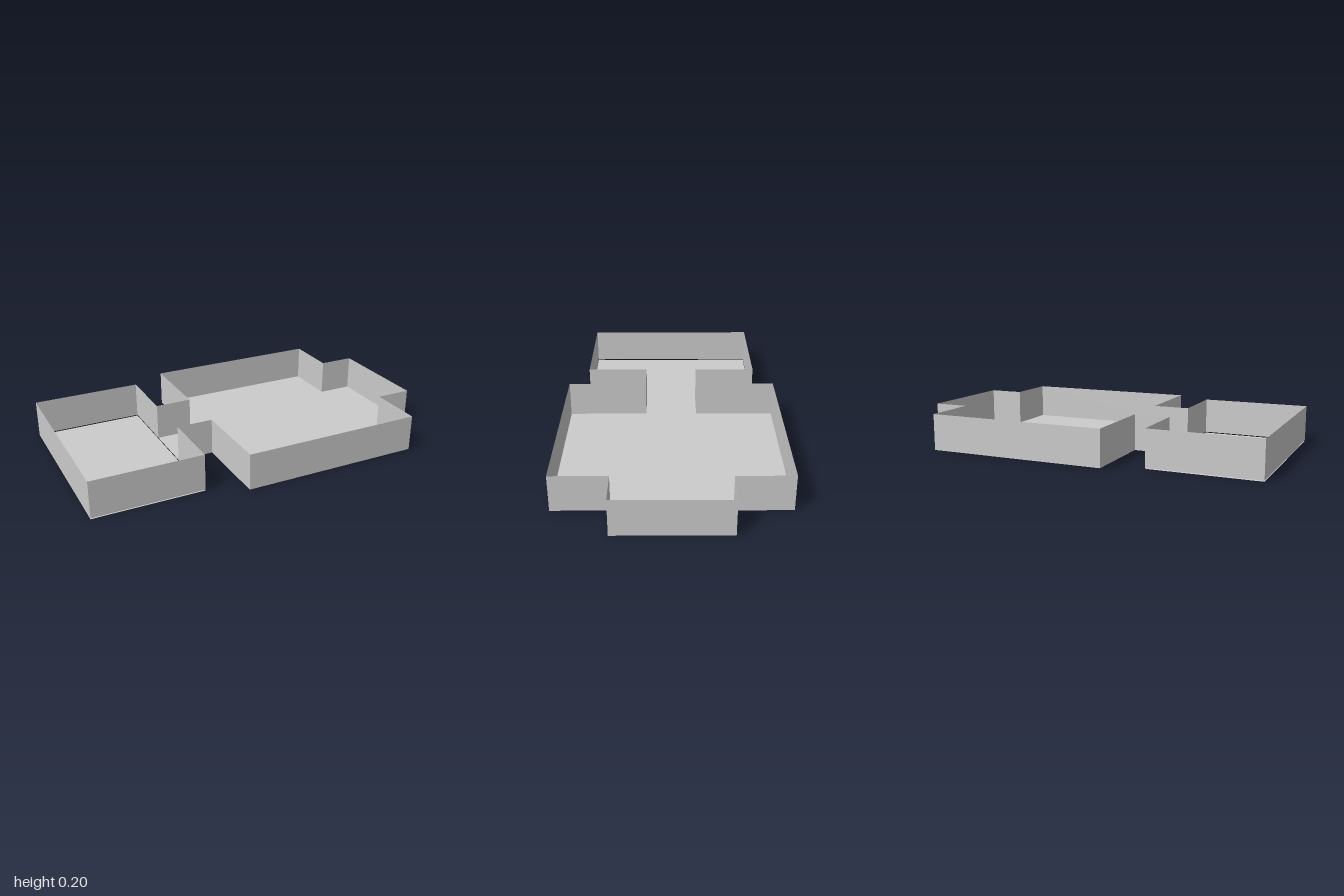
import * as THREE from 'three';

const BASE = 0.005, HEIGHT = 0.2;

export function createModel() {
  const model = new THREE.Group();
  model.name = 'floorPlan';
  const material = new THREE.MeshStandardMaterial({
    color: 0xcccccc, flatShading: true, side: THREE.DoubleSide,
  });

  const addPlane = (name, w, h) => {
    const mesh = new THREE.Mesh(new THREE.PlaneGeometry(w, h), material);
    mesh.name = name;
    model.add(mesh);
    return mesh;
  };

  // Floors: name, x start, x end, depth, level
  const floors = [
    ['smallRoomFloor', -1, -0.4, 1, 0],
    ['passageFloor', -0.4, -0.2, 0.3, BASE],
    ['mainRoomFloor', -0.2, 0.8, 1.2, BASE],
    ['alcoveFloor', 0.8, 1, 0.6, BASE],
  ];
  for (const [name, x0, x1, depth, y] of floors) {
    const floor = addPlane(name, x1 - x0, depth);
    floor.rotation.x = -Math.PI / 2;
    floor.position.set((x0 + x1) / 2, y, 0);
  }

  // Thin walls follow half of the outline, mirrored front to back
  const outline = [
    [-1, 0], [-1, 0.5], [-0.4, 0.5], [-0.4, 0.15], [-0.2, 0.15],
    [-0.2, 0.6], [0.8, 0.6], [0.8, 0.3], [1, 0.3], [1, 0],
  ];
  for (const side of [1, -1]) {
    for (let i = 0; i < outline.length - 1; i++) {
      const [x0, z0] = outline[i], [x1, z1] = outline[i + 1];
      const dx = x1 - x0, dz = (z1 - z0) * side;
      const wall = addPlane(side > 0 ? 'frontWall' : 'backWall', Math.hypot(dx, dz), HEIGHT);
      wall.rotation.y = Math.atan2(-dz, dx) + (side < 0 ? Math.PI : 0);
      wall.position.set((x0 + x1) / 2, BASE + HEIGHT / 2, side * (z0 + z1) / 2);
    }
  }
  return model;
}
